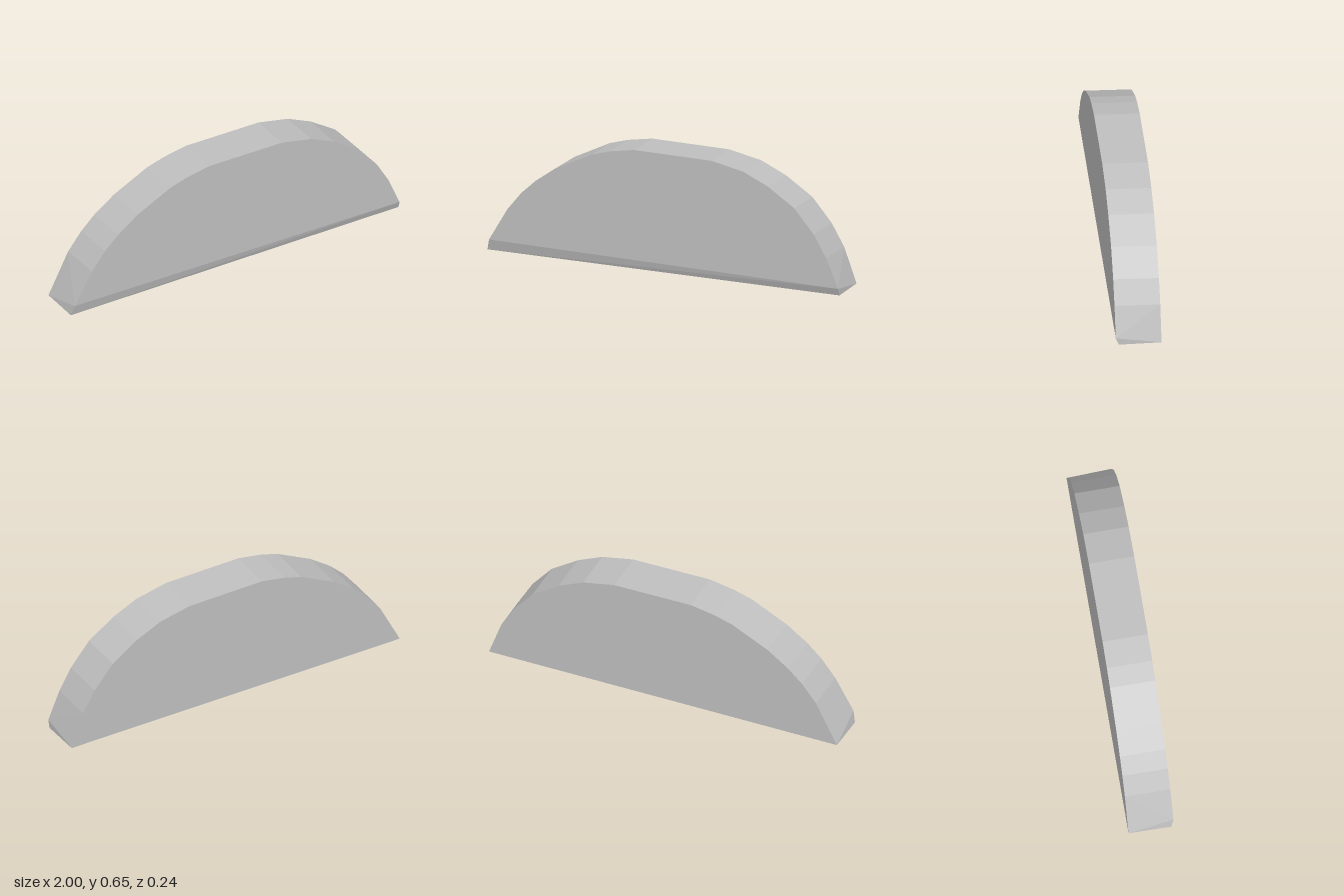
import * as THREE from 'three';
import { ConvexGeometry } from 'three/addons/geometries/ConvexGeometry.js';

export function createModel() {
  const group = new THREE.Group();
  group.name = 'halfRoundSlab';
  const grey = new THREE.MeshStandardMaterial({ color: 0xbfbfbf });
  grey.name = 'grey';

  // Curved rim of the front face, from one end to the other
  const rim = [
    [-0.985, 0.06], [-0.88, 0.24], [-0.8, 0.34], [-0.72, 0.415], [-0.6, 0.5],
    [-0.4, 0.6], [-0.3, 0.63], [-0.16, 0.655], [0.28, 0.651], [0.46, 0.614],
    [0.6, 0.55], [0.75, 0.45], [0.86, 0.32], [0.93, 0.2], [0.998, 0.04],
  ];
  const depth = 0.12;
  const points = [];
  rim.forEach(([x, y], i) => {
    points.push(new THREE.Vector3(x, y, depth));
    // The back rim sits slightly lower, its ends reaching the ground
    if (i > 0 && i < rim.length - 1) points.push(new THREE.Vector3(x, y - 0.008, -depth));
  });
  // Flat base, set back from the front to leave a narrow chamfer
  for (const x of [-1, 1]) {
    points.push(new THREE.Vector3(x, 0, 0.105), new THREE.Vector3(x, 0, -depth));
  }

  const slab = new THREE.Mesh(new ConvexGeometry(points), grey);
  slab.name = 'slab';
  group.add(slab);
  return group;
}
